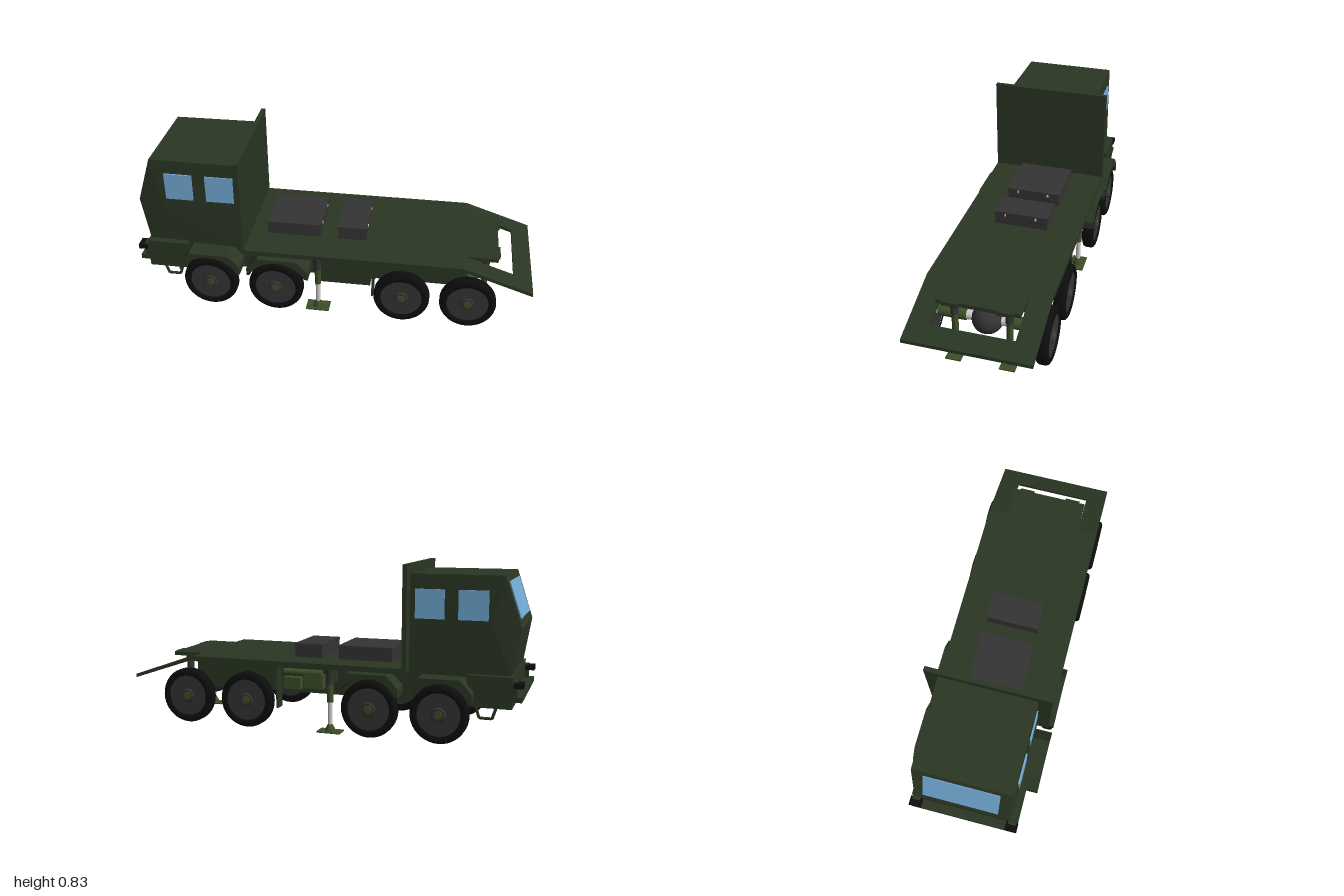
import * as THREE from 'three';
import { ConvexGeometry } from 'three/addons/geometries/ConvexGeometry.js';

const mat = (color, extra = {}) => new THREE.MeshStandardMaterial({ color, ...extra });
const green = mat(0x2a3623), olive = mat(0x3d4f28), black = mat(0x0d0d0d), grey = mat(0x343434);
const steel = mat(0xcccccc), glass = mat(0x73abd6), greenFlat = mat(0x2a3623, { flatShading: true });

export function createModel() {
  const root = new THREE.Group();

  const add = (name, geo, material, x = 0, y = 0, z = 0, parent = root) => {
    const m = new THREE.Mesh(geo, material);
    m.name = name;
    m.position.set(x, y, z);
    parent.add(m);
    return m;
  };
  // Box given by its limits on each axis
  const box = (name, material, [x0, x1], [y0, y1], [z0, z1]) =>
    add(name, new THREE.BoxGeometry(x1 - x0, y1 - y0, z1 - z0), material,
      (x0 + x1) / 2, (y0 + y1) / 2, (z0 + z1) / 2);
  // Upright cylinder between two heights
  const post = (name, material, x, z, y0, y1, r0, r1 = r0, parent = root) =>
    add(name, new THREE.CylinderGeometry(r1, r0, y1 - y0, 20), material, x, (y0 + y1) / 2, z, parent);
  // Cylinder along z
  const rod = (name, material, x, y, z0, z1, r) => {
    const m = add(name, new THREE.CylinderGeometry(r, r, Math.abs(z1 - z0), 24), material, x, y, (z0 + z1) / 2);
    m.rotation.x = Math.PI / 2;
    return m;
  };
  const span = (s, a, b) => (s > 0 ? [a, b] : [-b, -a]);
  const shapeOf = pts => new THREE.Shape(pts.map(p => new THREE.Vector2(...p)));
  // Side outline in x and y, extruded from z0 to z1
  const plate = (name, material, shape, [z0, z1]) =>
    add(name, new THREE.ExtrudeGeometry(shape, { depth: z1 - z0, bevelEnabled: false, curveSegments: 20 }),
      material, 0, 0, z0);

  // Cab with leaning windscreen and chamfered lower corners
  const cabPts = [];
  for (const s of [1, -1]) {
    for (const [x, y, z] of [[-0.46, 0.79, 0.24], [-0.9, 0.79, 0.235], [-0.98, 0.55, 0.222],
      [-0.85, 0.55, 0.245], [-0.46, 0.55, 0.245], [-0.46, 0.32, 0.245], [-0.94, 0.32, 0.235]])
      cabPts.push(new THREE.Vector3(x, y, z * s));
  }
  add('cab', new ConvexGeometry(cabPts), greenFlat);
  for (const s of [1, -1])
    for (const x of [-0.83, -0.625])
      box('sideWindow', glass, [x, x + 0.14], [0.58, 0.72], span(s, 0.235, 0.247));
  const screen = add('windscreen', new THREE.BoxGeometry(0.006, 0.18, 0.36), glass, -0.94, 0.675, 0);
  screen.rotation.z = -Math.atan2(0.08, 0.24);

  // Headboard, chassis and deck
  box('headboard', green, [-0.46, -0.438], [0.33, 0.835], [-0.305, 0.305]);
  box('frontBody', green, [-0.95, -0.74], [0.18, 0.33], [-0.27, 0.27]);
  plate('chassis', green, shapeOf([[-0.8, 0.18], [0.6, 0.18], [0.68, 0.24], [0.68, 0.33], [-0.8, 0.33]]), [-0.22, 0.22]);
  box('deck', green, [-0.44, 0.66], [0.32, 0.345], [-0.305, 0.305]);
  box('deckTongue', green, [0.66, 0.825], [0.325, 0.345], [-0.2, 0.2]);
  for (const s of [1, -1]) {
    box('tongueTab', green, [0.825, 0.835], [0.325, 0.345], span(s, 0.09, 0.17));
    plate('sideSkirt', green, shapeOf([[0.66, 0.32], [0.5, 0.27], [0.46, 0.29], [0.26, 0.29], [0.21, 0.2],
      [0.2, 0.32]]), span(s, 0.22, 0.29));
    box('mudFlap', green, [0.205, 0.215], [0.1, 0.32], span(s, 0.215, 0.27));
  }
  box('sideLocker', green, [-0.05, 0.2], [0.18, 0.32], [0.2, 0.285]);

  // Sloping rear frame: flat outline with an opening, sheared downwards
  const frame = shapeOf([[0.66, -0.305], [1, -0.305], [1, 0.305], [0.66, 0.305],
    [0.66, 0.2], [0.905, 0.2], [0.905, -0.2], [0.66, -0.2]]);
  const frameGeo = new THREE.ExtrudeGeometry(frame, { depth: 0.018, bevelEnabled: false });
  frameGeo.rotateX(-Math.PI / 2);
  const fp = frameGeo.attributes.position;
  for (let i = 0; i < fp.count; i++) fp.setY(i, fp.getY(i) + 0.327 - (fp.getX(i) - 0.66) * 0.335);
  frameGeo.computeVertexNormals();
  add('rearFrame', frameGeo, green);

  // Equipment boxes on the deck
  for (const [x0, x1] of [[-0.35, -0.075], [0.015, 0.16]]) {
    box('deckBox', grey, [x0, x1], [0.345, 0.4], [-0.145, 0.13]);
    box('deckBoxLid', grey, [x0 - 0.002, x1 + 0.002], [0.4, 0.415], [-0.147, 0.132]);
    for (const z of [-0.085, 0.075]) box('latch', steel, [x1, x1 + 0.005], [0.393, 0.407], [z - 0.004, z + 0.004]);
  }

  // Front fenders with arched wheel openings
  for (const cx of [-0.62, -0.27]) {
    const arch = shapeOf([[cx - 0.155, 0.21], [cx - 0.155, 0.25], [cx - 0.1, 0.312], [cx + 0.1, 0.312],
      [cx + 0.16, 0.25], [cx + 0.16, 0.21], [cx + 0.14, 0.21]]);
    arch.lineTo(cx + 0.13, 0.23);
    arch.quadraticCurveTo(cx + 0.08, 0.295, cx, 0.295);
    arch.quadraticCurveTo(cx - 0.08, 0.295, cx - 0.13, 0.23);
    arch.lineTo(cx - 0.14, 0.21);
    for (const s of [1, -1]) plate('fender', green, arch, span(s, 0.21, 0.328));
  }

  // Wheels: lathed tyre, recessed disc and hub
  const tyreProfile = [[0.1, -0.03], [0.125, -0.03], [0.136, -0.024], [0.14, -0.015], [0.14, 0.015],
    [0.136, 0.024], [0.125, 0.03], [0.106, 0.03], [0.103, 0.02]].map(p => new THREE.Vector2(...p));
  const tyreGeo = new THREE.LatheGeometry(tyreProfile, 40);
  for (const x of [-0.62, -0.28, 0.36, 0.69]) {
    for (const s of [1, -1]) {
      const wheel = new THREE.Group();
      wheel.name = 'wheel';
      wheel.position.set(x, 0.14, s * 0.292);
      wheel.rotation.x = s * Math.PI / 2;
      add('tyre', tyreGeo, black, 0, 0, 0, wheel);
      post('wheelDisc', grey, 0, 0, -0.028, 0.022, 0.104, 0.104, wheel);
      post('hub', grey, 0, 0, 0.022, 0.029, 0.036, 0.03, wheel);
      post('hubCap', olive, 0, 0, 0.029, 0.032, 0.02, 0.018, wheel);
      root.add(wheel);
      rod('axleSleeve', olive, x, 0.175, s * 0.1, s * 0.24, 0.031);
    }
    rod('axle', steel, x, 0.175, -0.28, 0.28, 0.025);
  }
  add('differential', new THREE.SphereGeometry(0.076, 32, 20), grey, 0.69, 0.173, 0);

  // Stabiliser jacks with round-necked foot plates
  const jack = (x, z, rodTop) => {
    box('jackFoot', olive, [x - 0.06, x + 0.06], [0, 0.006], [z - 0.038, z + 0.038]);
    post('jackAnkle', olive, x, z, 0.006, 0.022, 0.026, 0.022);
    post('jackNeck', olive, x, z, 0.022, 0.04, 0.02, 0.012);
    post('jackRod', steel, x, z, 0.035, rodTop, 0.012);
    post('jackSleeve', olive, x, z, rodTop, 0.25, 0.016);
    post('jackBody', grey, x, z, 0.24, 0.295, 0.019);
    post('jackHead', green, x, z, 0.285, 0.33, 0.023);
  };
  for (const s of [1, -1]) {
    jack(-0.07, s * 0.262, 0.15);
    jack(0.77, s * 0.132, 0.125);
    box('jackBracket', green, [-0.095, -0.045], [0.25, 0.32], span(s, 0.2, 0.262));
  }

  // Pump units in the bay on the far side
  box('pumpUnit', olive, [-0.03, 0.07], [0.21, 0.28], [-0.265, -0.2]);
  box('pumpUnit', olive, [0.09, 0.18], [0.2, 0.26], [-0.26, -0.2]);
  const pipe = add('pumpPipe', new THREE.CylinderGeometry(0.018, 0.018, 0.2, 16), olive, 0.08, 0.285, -0.245);
  pipe.rotation.z = Math.PI / 2;

  // Front bumper, lamps and folding steps
  box('bumper', green, [-0.995, -0.94], [0.215, 0.24], [-0.27, 0.27]);
  for (const s of [1, -1]) {
    box('lampArm', green, [-0.97, -0.94], [0.24, 0.31], span(s, 0.225, 0.265));
    box('lamp', black, [-1, -0.955], [0.28, 0.305], span(s, 0.215, 0.275));
    const step = new THREE.CurvePath();
    const corners = [[-0.88, 0.19], [-0.86, 0.128], [-0.8, 0.128], [-0.78, 0.19]]
      .map(([x, y]) => new THREE.Vector3(x, y, s * 0.255));
    for (let i = 0; i < 3; i++) step.add(new THREE.LineCurve3(corners[i], corners[i + 1]));
    add('step', new THREE.TubeGeometry(step, 30, 0.007, 8), green);
  }
  return root;
}
